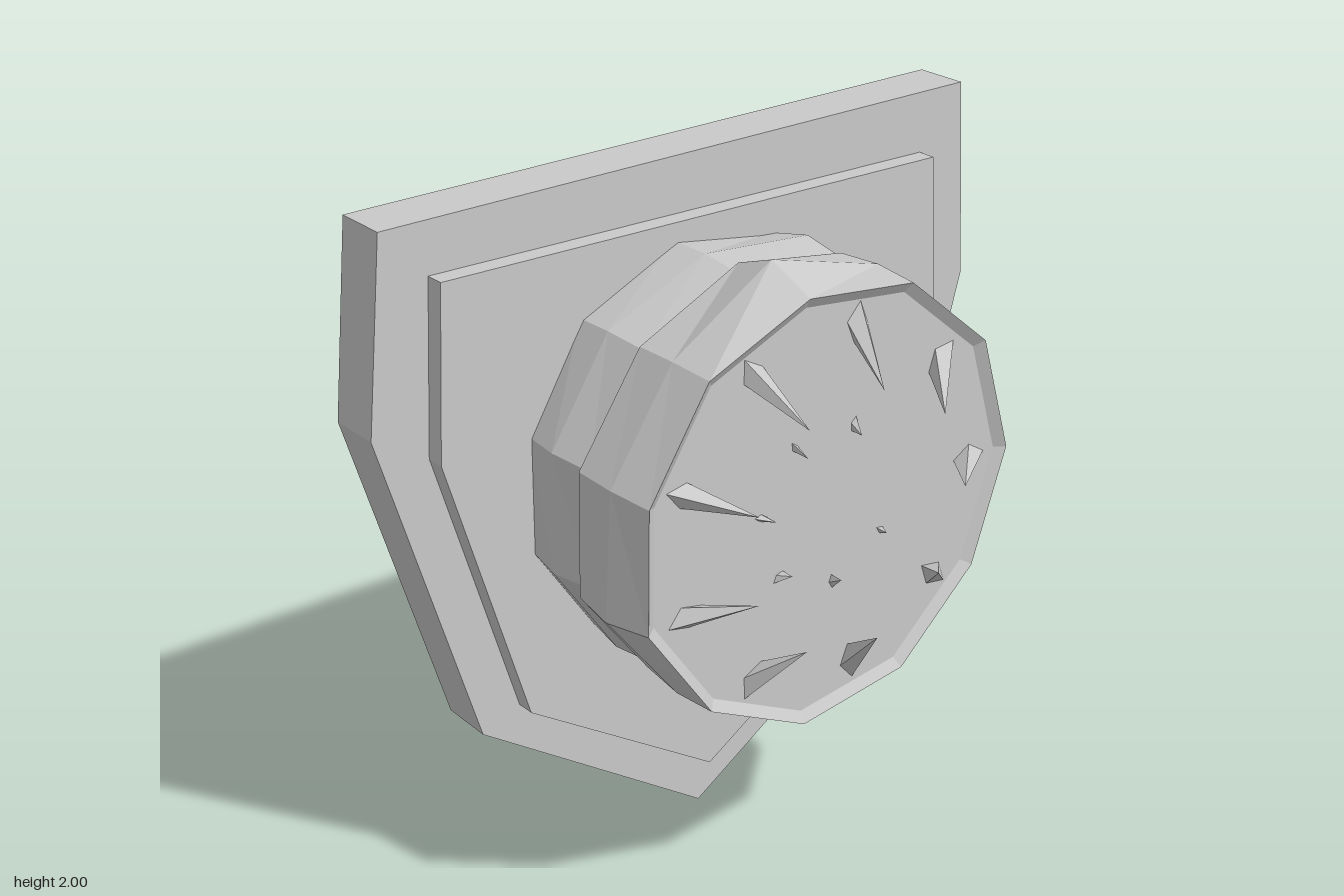
import * as THREE from 'three';

const CENTER_Y = 1.185;
const SIDES = 11;

export function createModel() {
  const model = new THREE.Group();
  // Double-sided because the rear collar is an open, thin tube
  const stone = new THREE.MeshStandardMaterial({ color: 0xc9c9c9, side: THREE.DoubleSide });
  stone.name = 'grey stone';

  const add = (name, geometry, parent = model) => {
    const flat = geometry.index ? geometry.toNonIndexed() : geometry;
    flat.computeVertexNormals();
    const mesh = new THREE.Mesh(flat, stone);
    mesh.name = name;
    parent.add(mesh);
    return mesh;
  };

  // Flat plate with a given outline, from z0 to z1
  const plate = (name, outline, z0, z1) => {
    const shape = new THREE.Shape(outline.map(([x, y]) => new THREE.Vector2(x, y)));
    const geometry = new THREE.ExtrudeGeometry(shape, { depth: z1 - z0, bevelEnabled: false });
    add(name, geometry.translate(0, 0, z0));
  };

  // Irregular eleven-sided tube: each ring is [z, radii], listed back to front
  const tube = (name, rings, closedFront = false) => {
    const positions = [];
    const point = ([z, radii], i) => {
      const k = i % SIDES;
      const a = (k / SIDES) * Math.PI * 2;
      return [radii[k] * Math.cos(a), CENTER_Y + radii[k] * Math.sin(a), z];
    };
    const last = rings[rings.length - 1];
    for (let i = 0; i < SIDES; i++) {
      for (let r = 0; r < rings.length - 1; r++) {
        const a = point(rings[r], i), b = point(rings[r], i + 1);
        const c = point(rings[r + 1], i + 1), d = point(rings[r + 1], i);
        positions.push(...a, ...b, ...c, ...a, ...c, ...d);
      }
      if (closedFront) positions.push(0, CENTER_Y, last[0], ...point(last, i), ...point(last, i + 1));
    }
    const geometry = new THREE.BufferGeometry();
    geometry.setAttribute('position', new THREE.Float32BufferAttribute(positions, 3));
    add(name, geometry);
  };

  // Shield-shaped backing and its raised panel
  plate('backPlate', [[0.005, 0], [0.715, 0.465], [0.987, 1.43], [0.957, 2],
    [-0.93, 1.97], [-0.99, 1.44], [-0.72, 0.5]], -0.388, -0.225);
  plate('raisedPanel', [[0.005, 0.155], [0.6, 0.54], [0.833, 1.34], [0.808, 1.825],
    [-0.8, 1.83], [-0.83, 1.35], [-0.6, 0.55]], -0.23, -0.168);

  // Open collar standing out behind the backing
  tube('rearCollar', [
    [-0.478, [0.555, 0.555, 0.56, 0.547, 0.54, 0.548, 0.557, 0.55, 0.547, 0.55, 0.548]],
    [-0.335, [0.548, 0.55, 0.56, 0.55, 0.54, 0.538, 0.542, 0.545, 0.547, 0.55, 0.54]],
  ]);

  // Faceted neck
  const neckFront = [0.555, 0.575, 0.6, 0.58, 0.59, 0.582, 0.585, 0.585, 0.577, 0.59, 0.565];
  tube('neck', [
    [-0.19, [0.583, 0.59, 0.59, 0.593, 0.59, 0.58, 0.585, 0.58, 0.573, 0.585, 0.58]],
    [-0.055, [0.59, 0.6, 0.62, 0.595, 0.6, 0.6, 0.608, 0.6, 0.592, 0.6, 0.6]],
    [0.085, neckFront],
  ]);

  // Wider band with a shallow recessed front face
  const rim = [0.615, 0.615, 0.61, 0.598, 0.605, 0.605, 0.615, 0.605, 0.617, 0.615, 0.6];
  tube('frontBand', [
    [0.085, neckFront],
    [0.085, [0.635, 0.625, 0.61, 0.612, 0.605, 0.615, 0.625, 0.6, 0.602, 0.61, 0.61]],
    [0.225, [0.645, 0.633, 0.62, 0.662, 0.613, 0.62, 0.645, 0.614, 0.622, 0.63, 0.62]],
    [0.365, rim],
    [0.345, rim.map((r) => r * 0.95)],
  ], true);

  // Four-sided tooth whose tip leans towards the middle
  const tooth = (length, lean, halfLong, halfWide) => {
    const geometry = new THREE.ConeGeometry(1, 1, 4, 1).toNonIndexed();
    geometry.rotateX(Math.PI / 2).translate(0, 0, 0.5).scale(halfLong, halfWide, length);
    const p = geometry.attributes.position;
    for (let i = 0; i < p.count; i++) p.setX(i, p.getX(i) - lean * p.getZ(i) / length);
    return geometry;
  };

  const toothRing = (name, count, start, radius, z, geometry) => {
    const group = new THREE.Group();
    group.name = name;
    for (let i = 0; i < count; i++) {
      const a = start + (i / count) * Math.PI * 2;
      const mesh = add('tooth', geometry, group);
      mesh.position.set(radius * Math.cos(a), CENTER_Y + radius * Math.sin(a), z);
      mesh.rotation.z = a;
    }
    model.add(group);
  };

  toothRing('outerTeeth', 9, 0, 0.495, 0.343, tooth(0.137, 0.14, 0.055, 0.034));
  // One inner tooth is missing from an even ring of seven
  toothRing('innerTeeth', 7, 0.3, 0.225, 0.343, tooth(0.042, 0.02, 0.021, 0.01));
  model.getObjectByName('innerTeeth').children[0].removeFromParent();

  return model;
}
